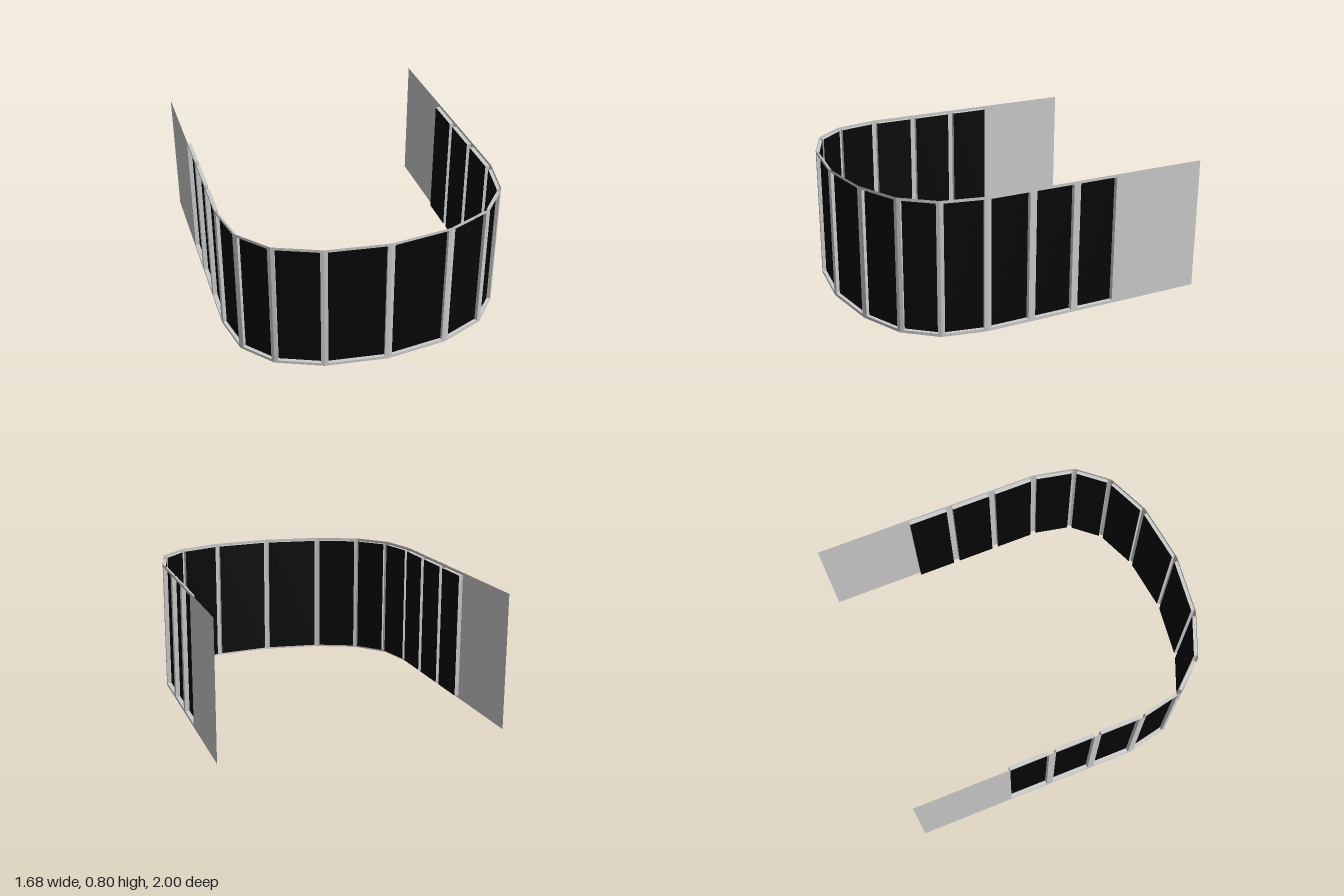
import * as THREE from 'three';

const H = 0.797;     // wall height
const RAIL = 0.017;  // top and bottom rail height
const POST = 0.021;  // half of a post's width

const frameMat = new THREE.MeshStandardMaterial({ color: 0xcccccc, side: THREE.DoubleSide });
const glassMat = new THREE.MeshStandardMaterial({ color: 0x060606, side: THREE.DoubleSide });

function addMesh(group, name, geometry, material) {
  const mesh = new THREE.Mesh(geometry, material);
  mesh.name = name;
  group.add(mesh);
  return mesh;
}

// A thin rectangle of the wall, with an optional window opening.
function sheet(w, opening) {
  const shape = new THREE.Shape();
  shape.moveTo(0, 0).lineTo(w, 0).lineTo(w, H).lineTo(0, H).closePath();
  if (opening) {
    const hole = new THREE.Path();
    hole.moveTo(POST, RAIL).lineTo(POST, H - RAIL);
    hole.lineTo(w - POST, H - RAIL).lineTo(w - POST, RAIL).closePath();
    shape.holes.push(hole);
  }
  return new THREE.ShapeGeometry(shape);
}

// One framed panel: local x runs along the wall, local +z faces outward.
function windowPanel(w, depth) {
  const g = new THREE.Group();
  g.name = 'windowPanel';
  addMesh(g, 'frame', sheet(w, true), frameMat);

  const pw = w - 2 * POST, ph = H - 2 * RAIL;
  // sills and jambs lining the opening, facing into it
  for (const s of [-1, 1]) {
    const sill = addMesh(g, 'sill', new THREE.PlaneGeometry(pw, depth), frameMat);
    sill.rotation.x = s * Math.PI / 2;
    sill.position.set(w / 2, H / 2 + s * ph / 2, -depth / 2);
    const jamb = addMesh(g, 'jamb', new THREE.PlaneGeometry(depth, ph), frameMat);
    jamb.rotation.y = -s * Math.PI / 2;
    jamb.position.set(w / 2 + s * pw / 2, H / 2, -depth / 2);
  }
  // pane on the inner side of the opening
  const pane = addMesh(g, 'pane', new THREE.PlaneGeometry(pw, ph), glassMat);
  pane.position.set(w / 2, H / 2, -depth);
  return g;
}

export function createModel() {
  const model = new THREE.Group();
  model.name = 'curvedWindowWall';

  // Outer wall corners [x, z] from the front centre to the rear end of one side.
  const half = [
    [0, 0.998], [0.365, 0.953], [0.63, 0.842], [0.785, 0.66], [0.838, 0.4],
    [0.838, 0.12], [0.838, -0.16], [0.838, -0.44], [0.838, -1],
  ];
  const path = [...half.slice(1).reverse().map(([x, z]) => [-x, z]), ...half];

  for (let i = 0; i < path.length - 1; i++) {
    const [ax, az] = path[i], [bx, bz] = path[i + 1];
    const dx = bx - ax, dz = bz - az, w = Math.hypot(dx, dz);
    let part;
    if (i === 0 || i === path.length - 2) {
      // plain wall at each rear end
      part = new THREE.Mesh(sheet(w, false), frameMat);
      part.name = 'rearWall';
    } else {
      part = windowPanel(w, Math.abs(dx) < 1e-6 ? 0.026 : 0.021);
    }
    part.position.set(ax, 0, az);
    part.rotation.y = Math.atan2(-dz, dx);
    model.add(part);
  }
  return model;
}
